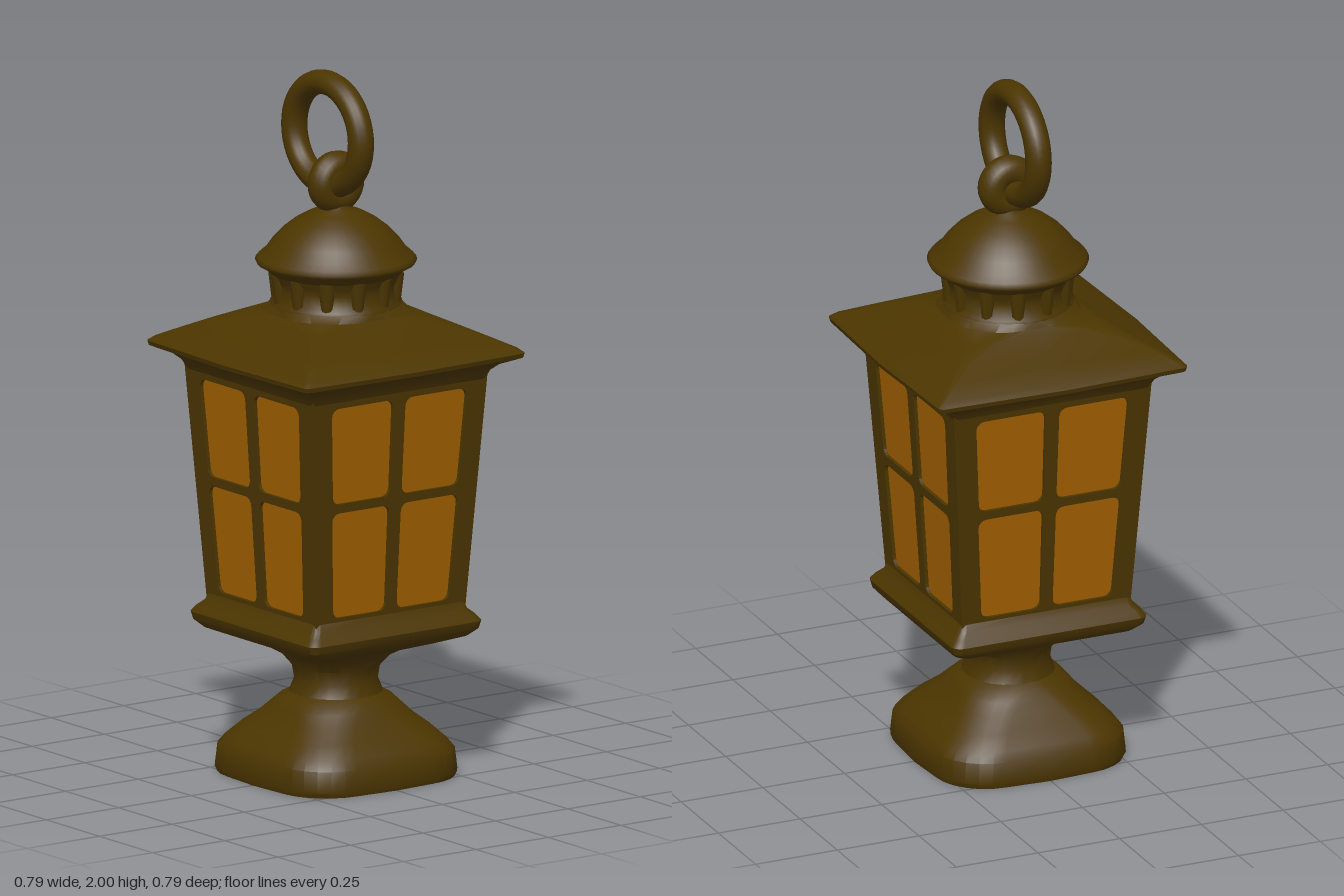
import * as THREE from 'three';
import { toCreasedNormals } from 'three/addons/utils/BufferGeometryUtils.js';

// Loft through rounded squares: each section is [y, half width, corner radius, bow of the sides]
function loft(sections, crease = 0.6) {
  const n = 6, pos = [], idx = [];
  for (const [y, half, r, bow = 0] of sections) {
    const s = half - r;
    for (let q = 0; q < 4; q++) {
      const mid = (q + 0.5) * Math.PI / 2;
      const cx = Math.sign(Math.cos(mid)) * s, cz = Math.sign(Math.sin(mid)) * s;
      for (let k = 0; k <= n; k++) {
        const a = (q + k / n) * Math.PI / 2;
        pos.push(cx + r * Math.cos(a), y, cz + r * Math.sin(a));
      }
      const e = (q + 1) * Math.PI / 2;
      pos.push((half + bow) * Math.cos(e), y, (half + bow) * Math.sin(e));
    }
  }
  const m = 4 * (n + 2), last = sections.length - 1;
  for (let j = 0; j < last; j++) for (let i = 0; i < m; i++) {
    const a = j * m + i, b = j * m + (i + 1) % m;
    idx.push(a, a + m, b, b, a + m, b + m);
  }
  // end caps
  const c = pos.length / 3;
  pos.push(0, sections[0][0], 0, 0, sections[last][0], 0);
  for (let i = 0; i < m; i++) {
    const k = (i + 1) % m;
    idx.push(c, i, k, c + 1, last * m + k, last * m + i);
  }
  const g = new THREE.BufferGeometry();
  g.setAttribute('position', new THREE.Float32BufferAttribute(pos, 3));
  g.setIndex(idx);
  return toCreasedNormals(g, crease);
}

// Half width of the tapering lantern body at height y
const bodyHalf = y => 0.258 + (y - 0.49) * 0.066;

// Rounded outline on a tapering side; u runs from -1 to 1 across it
function paneOutline(u0, u1, y0, y1, r = 0.024) {
  const points = [];
  [[u1, y1, -1, -1], [u0, y1, 1, -1], [u0, y0, 1, 1], [u1, y0, -1, 1]].forEach(([u, y, sx, sy], q) => {
    for (let k = 0; k <= 4; k++) {
      const a = (q + k / 4) * Math.PI / 2;
      points.push(new THREE.Vector2(
        u * bodyHalf(y) + sx * r + r * Math.cos(a), y + sy * r + r * Math.sin(a)));
    }
  });
  return points;
}

// Lean a flat panel onto the sloping side of the body
function lean(g, inset) {
  const p = g.attributes.position;
  for (let i = 0; i < p.count; i++) p.setZ(i, p.getZ(i) + bodyHalf(p.getY(i)) - inset);
  g.computeVertexNormals();
  return g;
}

export function createModel() {
  const bronze = new THREE.MeshStandardMaterial({ color: 0x4b3500 });
  bronze.name = 'dark bronze';
  const amber = new THREE.MeshStandardMaterial({ color: 0xa26000 });
  amber.name = 'amber glass';

  const model = new THREE.Group();
  model.name = 'lantern';
  const add = (name, geometry, material = bronze, parent = model) => {
    const mesh = new THREE.Mesh(geometry, material);
    mesh.name = name;
    parent.add(mesh);
    return mesh;
  };

  // Foot, waist and tray
  add('foot', loft([
    [0, 0.28, 0.15, 0.008], [0.015, 0.285, 0.15, 0.008], [0.075, 0.28, 0.15, 0.006],
    [0.1, 0.262, 0.14, 0.004], [0.135, 0.228, 0.125], [0.17, 0.19, 0.12], [0.2, 0.167, 0.125],
    [0.22, 0.152, 0.13], [0.235, 0.128, 0.12], [0.27, 0.116, 0.113], [0.31, 0.122, 0.118],
    [0.345, 0.145, 0.12], [0.37, 0.18, 0.11],
  ]));
  add('tray', loft([
    [0.365, 0.17, 0.1], [0.385, 0.225, 0.06], [0.405, 0.275, 0.04], [0.425, 0.293, 0.03],
    [0.447, 0.298, 0.03], [0.464, 0.285, 0.025], [0.48, 0.267, 0.02], [0.505, 0.257, 0.015],
  ]));

  // Four window sides: a frame quarter around each pane, glass set back
  const rows = [[0.49, 0.83, 0.512, 0.817], [0.83, 1.15, 0.843, 1.122]];
  const columns = [[-1, 0, -0.775, -0.07], [0, 1, 0.07, 0.775]];
  for (let i = 0; i < 4; i++) {
    const side = new THREE.Group();
    side.name = 'windowSide' + (i + 1);
    side.rotation.y = i * Math.PI / 2;
    model.add(side);
    for (const [bottom, top, y0, y1] of rows) for (const [left, right, u0, u1] of columns) {
      const quarter = new THREE.Shape([[left, bottom], [right, bottom], [right, top], [left, top]]
        .map(([u, y]) => new THREE.Vector2(u * bodyHalf(y), y)));
      quarter.holes.push(new THREE.Path(paneOutline(u0, u1, y0, y1)));
      const frame = new THREE.ExtrudeGeometry(quarter, { depth: 0.03, bevelEnabled: false });
      add('windowFrame', lean(frame, 0.03), bronze, side);
    }
    const glass = new THREE.ShapeGeometry(new THREE.Shape(paneOutline(-0.85, 0.85, 0.5, 1.135)));
    add('glass', lean(glass, 0.01), amber, side);
  }

  // Flared head and hipped roof
  add('roof', loft([
    [1.14, 0.301, 0.015], [1.165, 0.312, 0.015], [1.183, 0.332, 0.018], [1.195, 0.36, 0.02, 0.006],
    [1.203, 0.378, 0.018, 0.012], [1.216, 0.381, 0.018, 0.012], [1.229, 0.366, 0.018, 0.01],
    [1.257, 0.312, 0.018, 0.004], [1.285, 0.258, 0.03], [1.31, 0.212, 0.08],
    [1.325, 0.19, 0.15], [1.345, 0.182, 0.178],
  ], 0.5));

  // Round vent collar with a ring of small pillars
  const circle = points => new THREE.LatheGeometry(points.map(([r, y]) => new THREE.Vector2(r, y)), 40);
  add('ventCollar', circle([[0.184, 1.33], [0.184, 1.35], [0.17, 1.36], [0.168, 1.395], [0.176, 1.415], [0.186, 1.435]]));
  const pillars = new THREE.Group();
  pillars.name = 'ventPillars';
  model.add(pillars);
  for (let i = 0; i < 12; i++) {
    const a = (i + 0.5) / 12 * Math.PI * 2;
    const pillar = add('ventPillar', new THREE.CylinderGeometry(0.026, 0.015, 0.09, 8), bronze, pillars);
    pillar.position.set(Math.sin(a) * 0.166, 1.388, Math.cos(a) * 0.166);
  }

  // Domed cap and its stem
  add('cap', circle([
    [0.17, 1.425], [0.186, 1.432], [0.2, 1.447], [0.221, 1.458], [0.226, 1.468], [0.218, 1.478],
    [0.198, 1.495], [0.178, 1.523], [0.15, 1.553], [0.115, 1.58], [0.075, 1.602], [0.045, 1.613],
    [0.036, 1.625], [0.036, 1.65], [0, 1.655],
  ]));

  // Small eyelet and the hanging ring threaded through it
  const eyelet = add('eyelet', new THREE.TorusGeometry(0.047, 0.042, 14, 28));
  eyelet.position.set(0, 1.686, 0);
  const ring = add('hangingRing', new THREE.TorusGeometry(0.157, 0.037, 16, 48));
  ring.rotation.y = Math.PI / 2;
  ring.scale.set(1, 0.93, 1);
  ring.position.set(-0.01, 1.82, -0.026);

  return model;
}
